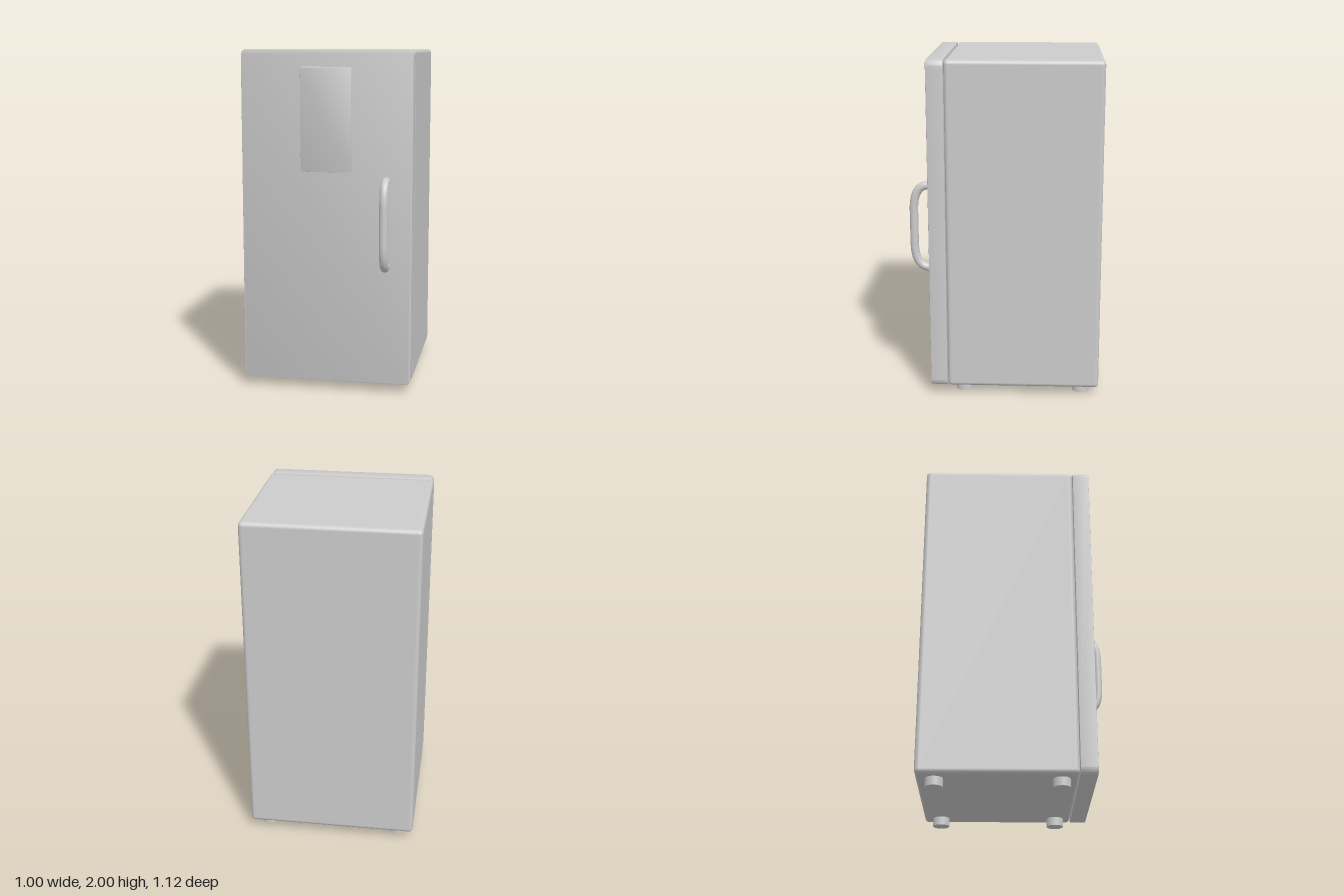
import * as THREE from 'three';
import { RoundedBoxGeometry } from 'three/addons/geometries/RoundedBoxGeometry.js';
import { toCreasedNormals } from 'three/addons/utils/BufferGeometryUtils.js';

const material = new THREE.MeshStandardMaterial({ color: 0xcccccc });

function addPart(parent, name, geometry, x = 0, y = 0, z = 0) {
  const mesh = new THREE.Mesh(geometry, material);
  mesh.name = name;
  mesh.position.set(x, y, z);
  parent.add(mesh);
}

// Upright slab with rounded corners and a fine eased edge, from z = 0 to depth
function slab(width, height, depth, rx, ry, ease) {
  const a = width / 2, b = height / 2, q = Math.PI / 2;
  const shape = new THREE.Shape();
  shape.moveTo(a, -b + ry);
  [[1, 1], [-1, 1], [-1, -1], [1, -1]].forEach(([sx, sy], i) => {
    shape.absellipse(sx * (a - rx), sy * (b - ry), rx, ry, i * q, (i + 1) * q, false, 0);
  });
  const geometry = new THREE.ExtrudeGeometry(shape, {
    depth: depth - 2 * ease, curveSegments: 10,
    bevelSize: ease, bevelThickness: ease, bevelOffset: -ease, bevelSegments: 2,
  });
  geometry.translate(0, 0, ease);
  return toCreasedNormals(geometry, 0.6);
}

// Bowed bar: two stubs that sweep into a straight vertical grip
function handleGeometry() {
  const v = (y, z) => new THREE.Vector3(0, y, z);
  const path = new THREE.CurvePath();
  path.add(new THREE.LineCurve3(v(0.25, -0.015), v(0.25, 0.015)));
  path.add(new THREE.CubicBezierCurve3(v(0.25, 0.015), v(0.25, 0.075), v(0.19, 0.1), v(0.1, 0.1)));
  path.add(new THREE.LineCurve3(v(0.1, 0.1), v(-0.1, 0.1)));
  path.add(new THREE.CubicBezierCurve3(v(-0.1, 0.1), v(-0.19, 0.1), v(-0.25, 0.075), v(-0.25, 0.015)));
  path.add(new THREE.LineCurve3(v(-0.25, 0.015), v(-0.25, -0.015)));
  return new THREE.TubeGeometry(path, 64, 0.025, 20);
}

export function createModel() {
  const fridge = new THREE.Group();
  fridge.name = 'fridge';

  // Cabinet
  addPart(fridge, 'cabinet', new RoundedBoxGeometry(1, 1.95, 0.9, 5, 0.025), 0, 1.025, -0.115);

  // Door with its raised panel and handle
  const door = new THREE.Group();
  door.name = 'door';
  fridge.add(door);
  addPart(door, 'doorSlab', slab(1, 1.95, 0.098, 0.03, 0.04, 0.004), 0, 1.025, 0.337);
  addPart(door, 'doorPanel', slab(0.3, 0.6, 0.02, 0.012, 0.015, 0.001), 0, 1.6, 0.425);
  addPart(door, 'doorHandle', handleGeometry(), 0.35, 1.003, 0.435);

  // Four feet
  const foot = new THREE.CylinderGeometry(0.05, 0.05, 0.06, 32);
  for (const x of [-0.4, 0.4]) {
    for (const z of [-0.46, 0.24]) addPart(fridge, 'foot', foot, x, 0.03, z);
  }
  return fridge;
}
